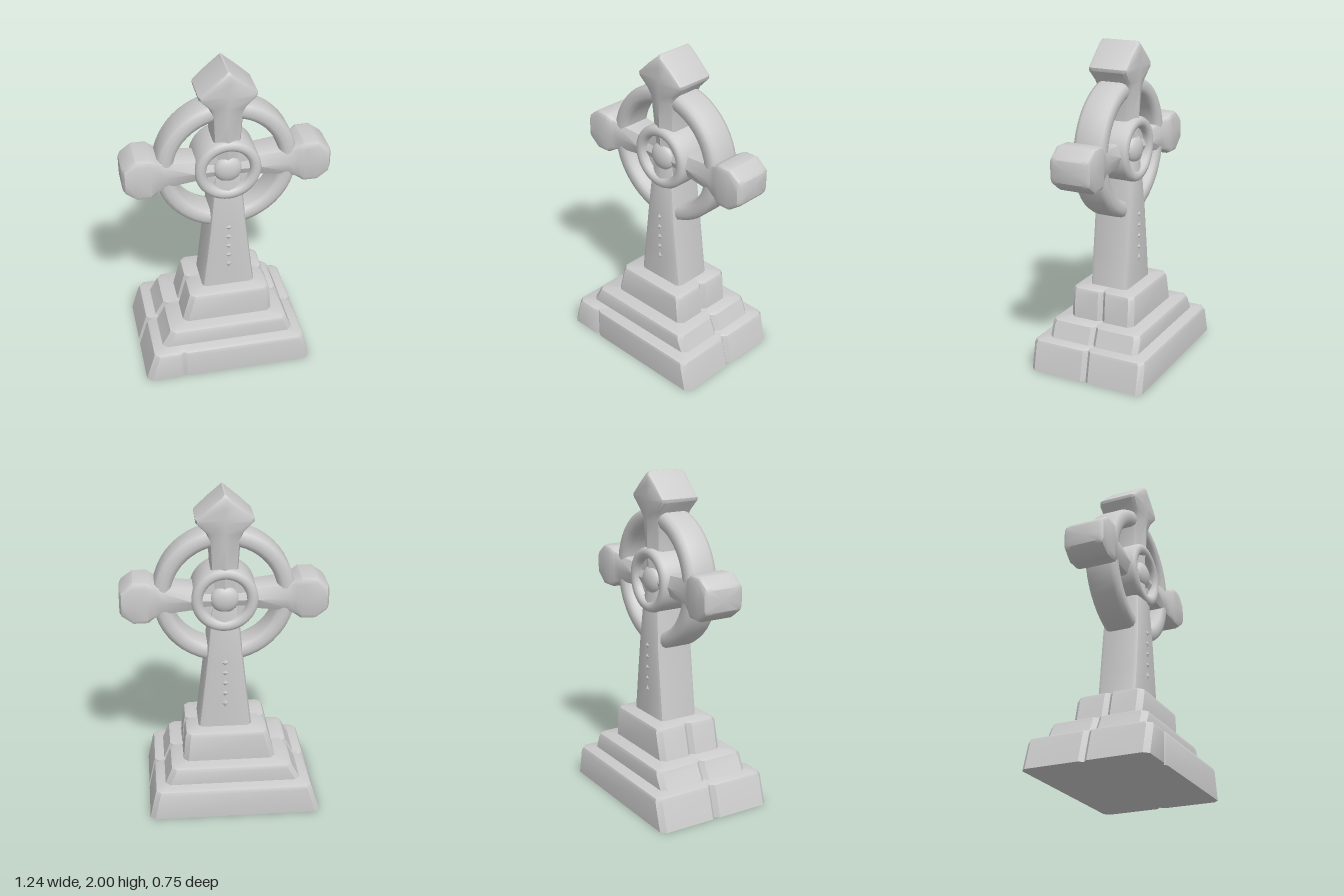
import * as THREE from 'three';
import { toCreasedNormals } from 'three/addons/utils/BufferGeometryUtils.js';

const stone = new THREE.MeshStandardMaterial({ color: 0xcccccc });
const CENTRE = 1.355;

// Skin a stack of equal-length outlines [{ h, pts: [[x, y], ...] }] and cap both ends; height ends up along +y.
function loft(sections, crease = 0.65) {
  const n = sections[0].pts.length;
  const pos = [], idx = [];
  for (const { h, pts } of sections) for (const [x, y] of pts) pos.push(x, y, h);
  for (let i = 0; i < sections.length - 1; i++) {
    for (let j = 0; j < n; j++) {
      const a = i * n + j, b = i * n + (j + 1) % n;
      idx.push(a, b, b + n, a, b + n, a + n);
    }
  }
  for (const top of [false, true]) {
    const s = sections[top ? sections.length - 1 : 0];
    const base = top ? (sections.length - 1) * n : 0;
    const c = pos.length / 3;
    const mean = (k) => s.pts.reduce((t, p) => t + p[k], 0) / n;
    pos.push(mean(0), mean(1), s.h);
    for (let j = 0; j < n; j++) {
      const a = base + j, b = base + (j + 1) % n;
      if (top) idx.push(c, a, b);
      else idx.push(c, b, a);
    }
  }
  const g = new THREE.BufferGeometry();
  g.setAttribute('position', new THREE.Float32BufferAttribute(pos, 3));
  g.setIndex(idx);
  g.rotateX(-Math.PI / 2);
  return toCreasedNormals(g, crease);
}

// Bevelled beam section with a ridge down the middle of the front and back.
function beam(w, d, bevel, ridge = 0) {
  const b = Math.min(bevel, w * 0.6), m = b * 0.3;
  const quarter = [[w, d - b], [w - m, d - m], [w - b, d]];
  const half = [...quarter, [0, d + ridge], ...quarter.map(([x, y]) => [-x, y]).reverse()];
  return [...half, ...half.map(([x, y]) => [-x, -y])];
}
const beamLoft = (rows) => loft(rows.map(([h, w, d, b, r]) => ({ h, pts: beam(w, d, b, r) })));

// Plinth outline with cut corners, a worn groove in each end and an optional crack in the front.
function tierOutline(x0, x1, d, c, crack) {
  const n = 0.025, k = 0.025;
  const pts = [
    [x1, -d + c], [x1, -n], [x1 - k, 0], [x1, n], [x1, d - c], [x1 - c, d],
    [x0 + c, d], [x0, d - c], [x0, n], [x0 + k, 0], [x0, -n], [x0, -d + c], [x0 + c, -d],
  ];
  if (crack) pts.push([-0.36, -d], [-0.335, -d + 0.015], [-0.31, -d]);
  pts.push([x1 - c, -d]);
  return pts;
}

// Round band with a softened rectangular section, facing +z.
function band(inner, outer, depth, b) {
  const m = b * 0.3;
  const p = [
    [outer, -depth + b], [outer, depth - b], [outer - m, depth - m], [outer - b, depth],
    [inner + b, depth], [inner + m, depth - m], [inner, depth - b],
    [inner, -depth + b], [inner + m, -depth + m], [inner + b, -depth],
    [outer - b, -depth], [outer - m, -depth + m], [outer, -depth + b],
  ].map(([r, y]) => new THREE.Vector2(r, y));
  return toCreasedNormals(new THREE.LatheGeometry(p, 48).rotateX(Math.PI / 2), 0.8);
}

export function createModel() {
  const model = new THREE.Group();
  model.name = 'stoneRingCross';
  const add = (name, geometry, parent = model) => {
    const mesh = new THREE.Mesh(geometry, stone);
    mesh.name = name;
    parent.add(mesh);
    return mesh;
  };

  // Stepped plinth: [name, y0, y1, left/right at bottom, left/right at top, half depth, crack]
  const tiers = [
    ['lowerStep', 0, 0.197, -0.575, 0.485, -0.525, 0.45, 0.377, true],
    ['middleStep', 0.18, 0.31, -0.465, 0.39, -0.41, 0.35, 0.3, false],
    ['upperStep', 0.3, 0.505, -0.31, 0.265, -0.265, 0.25, 0.212, false],
  ];
  for (const [name, y0, y1, a0, b0, a1, b1, d, crack] of tiers) {
    const row = (h, a, b, inset) => ({ h, pts: tierOutline(a + inset, b - inset, d - inset, 0.03, crack) });
    add(name, loft([
      row(y0, a0, b0, 0),
      row(y1 - 0.03, a1, b1, 0),
      row(y1 - 0.01, a1, b1, 0.008),
      row(y1, a1, b1, 0.028),
    ]));
  }

  // Tapering shaft: [height, half width, half depth, bevel, ridge]
  add('shaft', beamLoft([
    [0.48, 0.168, 0.127, 0.03, 0],
    [0.7, 0.142, 0.127, 0.03, 0.002],
    [0.95, 0.114, 0.125, 0.03, 0.004],
    [1.2, 0.09, 0.115, 0.03, 0.012],
    [CENTRE, 0.075, 0.09, 0.025, 0.02],
  ]));

  // Upper arm and its pointed head
  add('upperArm', beamLoft([
    [CENTRE, 0.075, 0.09, 0.025, 0.02],
    [1.55, 0.082, 0.1, 0.03, 0.025],
    [1.72, 0.092, 0.11, 0.03, 0.018],
    [1.77, 0.108, 0.122, 0.03, 0.006],
    [1.835, 0.168, 0.13, 0.03, 0],
    [1.855, 0.17, 0.13, 0.03, 0],
    [1.925, 0.095, 0.13, 0.028, 0],
    [1.98, 0.026, 0.128, 0.022, 0],
    [2.0, 0.004, 0.115, 0.01, 0],
  ]));

  // Side arms with blocky cut-corner ends
  const armRows = [
    [0, 0.07, 0.085, 0.025, 0.02],
    [0.2, 0.074, 0.092, 0.03, 0.018],
    [0.37, 0.09, 0.102, 0.03, 0.01],
    [0.42, 0.108, 0.115, 0.03, 0.004],
    [0.455, 0.129, 0.13, 0.03, 0],
    [0.54, 0.13, 0.13, 0.03, 0],
    [0.607, 0.082, 0.126, 0.03, 0],
    [0.62, 0.065, 0.105, 0.03, 0],
  ];
  for (const [name, side] of [['leftArm', 1], ['rightArm', -1]]) {
    const arm = add(name, beamLoft(armRows));
    arm.rotation.z = -side * Math.PI / 2;
    arm.position.y = CENTRE - 0.005;
  }

  // Large ring, small hub ring and the disc that fills the hub
  add('outerRing', band(0.322, 0.424, 0.1, 0.035)).position.y = CENTRE + 0.005;
  add('hubRing', band(0.132, 0.198, 0.136, 0.025)).position.y = CENTRE;
  const disc = add('hubDisc', new THREE.CylinderGeometry(0.17, 0.17, 0.18, 32).rotateX(Math.PI / 2));
  disc.position.y = CENTRE;

  // Hub boss and carved studs on both faces
  for (const face of [1, -1]) {
    const prefix = face > 0 ? 'front' : 'back';
    const boss = add(prefix + 'Boss', new THREE.SphereGeometry(0.085, 24, 14));
    boss.scale.z = 0.55;
    boss.position.set(0, CENTRE, face * 0.09);
    const studs = new THREE.Group();
    studs.name = prefix + 'Studs';
    model.add(studs);
    for (let i = 0; i < 5; i++) {
      const stud = add('stud', toCreasedNormals(new THREE.OctahedronGeometry(1), 0.3), studs);
      stud.scale.set(0.02, i === 0 ? 0.03 : 0.02, 0.01);
      stud.position.set(0, 0.67 + i * 0.07, face * 0.128);
    }
  }
  return model;
}
